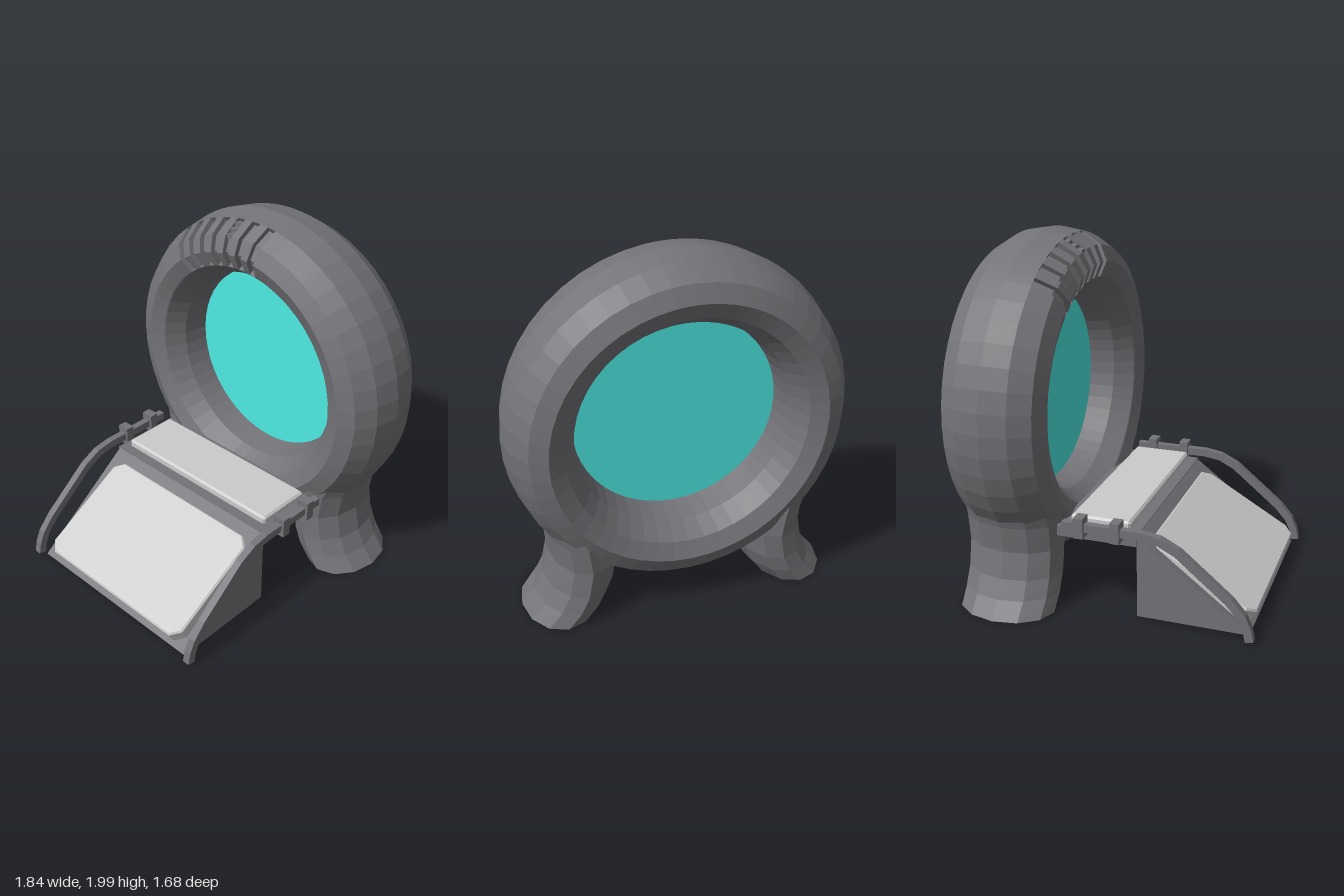
import * as THREE from 'three';

const dark = new THREE.MeshStandardMaterial({ color: 0x747378, flatShading: true });
const light = new THREE.MeshStandardMaterial({ color: 0xcccccc, flatShading: true });
const glow = new THREE.MeshStandardMaterial({ color: 0x4deae3, side: THREE.DoubleSide });
const RAD = Math.PI / 180;

function add(parent, name, geometry, material, x = 0, y = 0, z = 0) {
  const mesh = new THREE.Mesh(geometry, material);
  mesh.name = name;
  mesh.position.set(x, y, z);
  parent.add(mesh);
  return mesh;
}

// Faceted surface through rows of points
function skin(rows) {
  const pos = [];
  const tri = new THREE.Triangle();
  const push = (a, b, c) => {
    if (tri.set(a, b, c).getArea() < 1e-7) return;
    for (const p of [a, b, c]) pos.push(p.x, p.y, p.z);
  };
  for (let i = 0; i < rows.length - 1; i++) {
    for (let j = 0; j < rows[i].length - 1; j++) {
      const a = rows[i][j], b = rows[i + 1][j], c = rows[i + 1][j + 1], d = rows[i][j + 1];
      push(a, d, c);
      push(a, c, b);
    }
  }
  const g = new THREE.BufferGeometry();
  g.setAttribute('position', new THREE.Float32BufferAttribute(pos, 3));
  g.computeVertexNormals();
  return g;
}

// Side outline given as [z, y] points, extruded across x
function extrudeX(points, width) {
  const shape = new THREE.Shape(points.map(([z, y]) => new THREE.Vector2(z, y)));
  return new THREE.ExtrudeGeometry(shape, { depth: width, bevelEnabled: false })
    .translate(0, 0, -width / 2).rotateY(-Math.PI / 2);
}

const MAJOR = 0.737, TUBE_R = 0.183, TUBE_Z = 0.295;
const ringPoint = (a, phi, inset = 0) => {
  const r = MAJOR + (TUBE_R - inset) * Math.cos(phi * RAD);
  return new THREE.Vector3(r * Math.sin(a * RAD), r * Math.cos(a * RAD),
    (TUBE_Z - inset) * Math.sin(phi * RAD));
};

// Ring with vent grooves cut across its upper front
function ringGeometry() {
  const grooves = Array.from({ length: 7 }, (_, i) => [-38 + i * 7.1, -34.4 + i * 7.1]);
  const stations = [];
  for (let a = -180; a <= 180; a += 7.5) {
    stations.push([a, grooves.some(([s, e]) => a > s && a < e) ? 1 : 0]);
  }
  for (const [s, e] of grooves) {
    stations.push([s - 0.001, 0], [s, 1], [e, 1], [e + 0.001, 0]);
  }
  stations.sort((p, q) => p[0] - q[0]);
  const profile = [[0, 0], [30, 0], [30, 1], [60, 1], [90, 1], [118, 1], [118, 0], [120, 0]];
  for (let phi = 150; phi <= 360; phi += 30) profile.push([phi, 0]);
  return skin(stations.map(([a, cut]) =>
    profile.map(([phi, can]) => ringPoint(a, phi, cut * can * 0.03))));
}

// Splayed foot: elliptical sections [centre x, y, radius x, radius z]
function legGeometry(side) {
  const sections = [
    [0.67, 0.01, 0, 0], [0.67, 0.01, 0.2, 0.275], [0.6, 0.1, 0.195, 0.28],
    [0.555, 0.2, 0.19, 0.28], [0.53, 0.35, 0.183, 0.28], [0.55, 0.5, 0.18, 0.28],
    [0.59, 0.6, 0.17, 0.27], [0.63, 0.7, 0.12, 0.22],
  ];
  return skin(sections.map(([x, y, rx, rz]) => Array.from({ length: 13 }, (_, j) => {
    const t = j * 30 * RAD;
    return new THREE.Vector3(side * x + rx * Math.cos(t), y, -rz * Math.sin(t));
  })));
}

// Constant-thickness strip following a side-view path
function railGeometry() {
  const path = [[-0.22, 0.53], [0.22, 0.53], [0.32, 0.515], [0.42, 0.465],
    [0.56, 0.35], [0.7, 0.235], [0.77, 0.155], [0.8, 0.09], [0.813, 0.025]];
  const half = 0.023;
  const offset = (s) => path.map(([z, y], i) => {
    const p = path[Math.max(i - 1, 0)], n = path[Math.min(i + 1, path.length - 1)];
    const len = Math.hypot(n[0] - p[0], n[1] - p[1]);
    return [z - s * half * (n[1] - p[1]) / len, y + s * half * (n[0] - p[0]) / len];
  });
  return extrudeX([...offset(1), ...offset(-1).reverse()], 0.042);
}

// Flat slab with clipped corners, standing along z
function panelGeometry(w, h, cut, depth, bevel) {
  const x = w / 2 - bevel, y = h / 2 - bevel;
  const shape = new THREE.Shape([
    [x, -y + cut], [x, y - cut], [x - cut, y], [-x + cut, y],
    [-x, y - cut], [-x, -y + cut], [-x + cut, -y], [x - cut, -y],
  ].map(([px, py]) => new THREE.Vector2(px, py)));
  return new THREE.ExtrudeGeometry(shape, {
    depth: depth - 2 * bevel, bevelThickness: bevel, bevelSize: bevel, bevelSegments: 1,
  }).translate(0, 0, bevel - depth);
}

export function createModel() {
  const model = new THREE.Group();
  model.name = 'ringGate';

  // Ring, its central disc and feet share a very slight turn
  const gate = new THREE.Group();
  gate.name = 'gate';
  gate.position.z = -0.53;
  gate.rotation.y = -0.02;
  model.add(gate);
  add(gate, 'ring', ringGeometry(), dark, 0, 1.08, 0);
  add(gate, 'portalDisc', new THREE.CircleGeometry(0.56, 48), glow, 0, 1.08, 0);
  for (const side of [1, -1]) add(gate, side > 0 ? 'leftLeg' : 'rightLeg', legGeometry(side), dark);

  // Small crossbars inside one groove
  for (const phi of [36, 47, 58]) {
    const bar = add(gate, 'ventBar', new THREE.BoxGeometry(0.052, 0.022, 0.03), dark);
    bar.position.copy(ringPoint(-7.8, phi, 0.022));
    bar.position.y += 1.08;
    bar.rotation.z = 7.8 * RAD;
  }

  // Platform and ramp
  add(model, 'platform', new THREE.BoxGeometry(1.2, 0.06, 0.45), dark, 0, 0.47, -0.045);
  add(model, 'ramp', extrudeX([[0.8, 0.025], [0.18, 0.495], [0.18, 0.025]], 1.18), dark);
  add(model, 'platformPanel', panelGeometry(1.1, 0.34, 0.005, 0.055, 0.012), light, 0, 0.552, -0.04)
    .rotation.x = -Math.PI / 2;
  const tilt = Math.atan2(0.34, 0.585);
  add(model, 'rampPanel', panelGeometry(1.085, 0.677, 0.05, 0.095, 0.01), light, 0, 0.29, 0.5275)
    .rotation.x = tilt - Math.PI / 2;

  // Handrails with two clamps each
  for (const side of [1, -1]) {
    const rail = new THREE.Group();
    rail.name = side > 0 ? 'leftHandrail' : 'rightHandrail';
    rail.position.x = side * 0.636;
    model.add(rail);
    add(rail, 'rail', railGeometry(), dark);
    for (const z of [0.083, -0.12]) {
      add(rail, 'clamp', new THREE.BoxGeometry(0.075, 0.115, 0.053), dark, 0, 0.532, z);
    }
  }
  return model;
}
